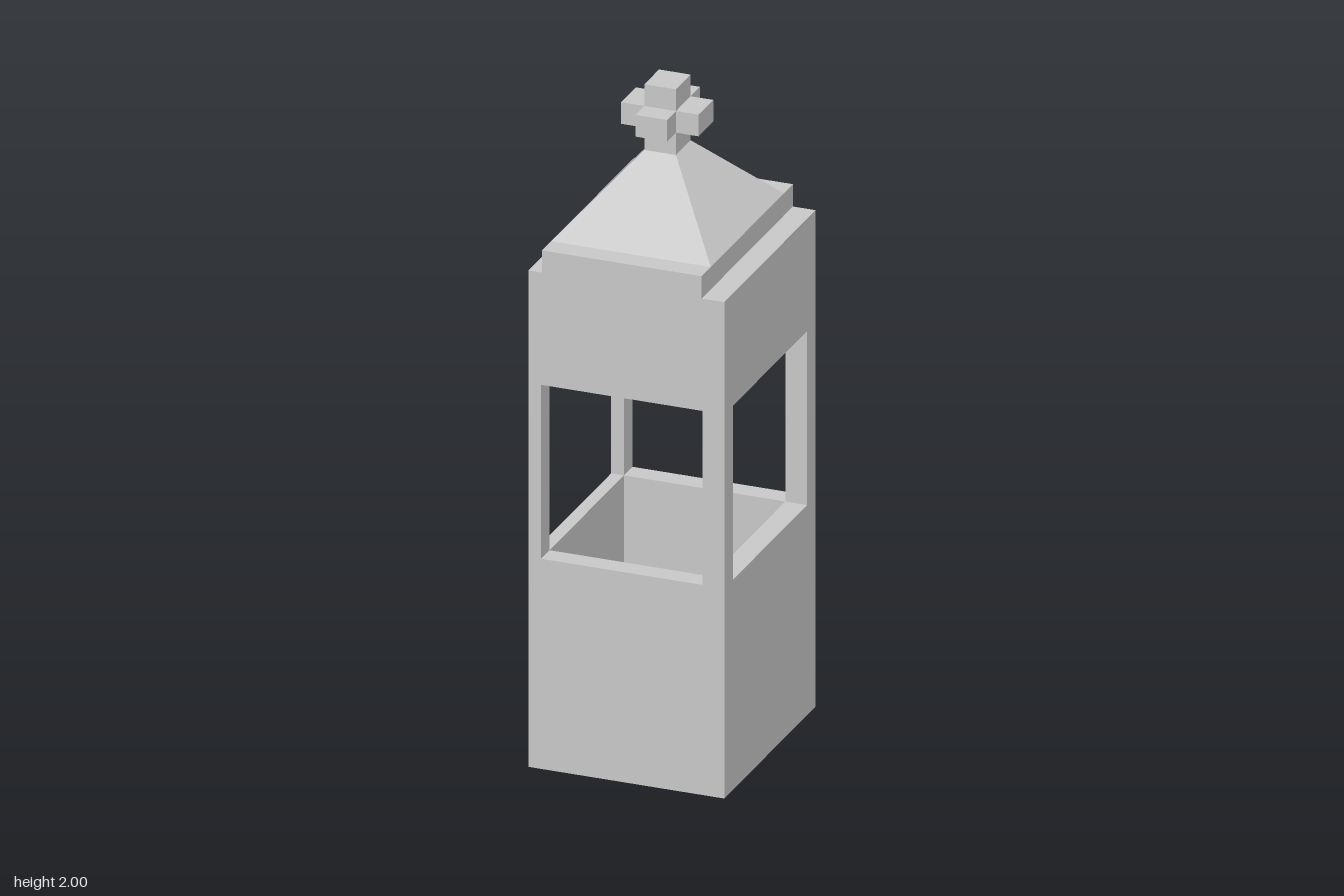
import * as THREE from 'three';

const material = new THREE.MeshStandardMaterial({ color: 0xcccccc, flatShading: true });

// Outer footprint and inner cavity, as x and z limits
const OUT = { x0: -0.295, x1: 0.293, z: 0.342 };
const CAV = { x0: -0.257, x1: 0.228, z: 0.278 };
const CAP = { x0: -0.254, x1: 0.225 };
const NECK = { x0: -0.062, x1: 0.033, z: 0.055 };

function add(group, name, geometry) {
  const mesh = new THREE.Mesh(geometry, material);
  mesh.name = name;
  group.add(mesh);
  return mesh;
}

// Box given by its limits on each axis
function block(group, name, x0, x1, y0, y1, z0, z1) {
  const mesh = add(group, name, new THREE.BoxGeometry(x1 - x0, y1 - y0, z1 - z0));
  mesh.position.set((x0 + x1) / 2, (y0 + y1) / 2, (z0 + z1) / 2);
}

function rectangle(Type, { x0, x1, z }) {
  return new Type([[x0, -z], [x1, -z], [x1, z], [x0, z]].map(p => new THREE.Vector2(...p)));
}

// Hollow rectangular band of wall between two heights
function wallBand(group, name, y0, y1) {
  const shape = rectangle(THREE.Shape, OUT);
  shape.holes.push(rectangle(THREE.Path, CAV));
  const geometry = new THREE.ExtrudeGeometry(shape, { depth: y1 - y0, bevelEnabled: false });
  geometry.rotateX(-Math.PI / 2).translate(0, y0, 0);
  add(group, name, geometry);
}

// Box whose top vertices are moved in to form a truncated pyramid
function pyramidRoof(group) {
  const geometry = new THREE.BoxGeometry(1, 1, 1);
  const p = geometry.attributes.position;
  for (let i = 0; i < p.count; i++) {
    const top = p.getY(i) > 0;
    const { x0, x1, z } = top ? NECK : { ...CAP, z: 0.274 };
    p.setXYZ(i, p.getX(i) > 0 ? x1 : x0, top ? 1.8 : 1.58, Math.sign(p.getZ(i)) * z);
  }
  geometry.computeVertexNormals();
  add(group, 'pyramidRoof', geometry);
}

export function createModel() {
  const model = new THREE.Group();
  model.name = 'lanternTower';

  // Walls below and above the window openings
  wallBand(model, 'lowerWalls', 0, 0.64);
  wallBand(model, 'upperWalls', 1.17, 1.512);

  // Corner posts between the windows
  for (const [x0, x1] of [[OUT.x0, CAV.x0], [CAV.x1, OUT.x1]])
    for (const [z0, z1] of [[-OUT.z, -CAV.z], [CAV.z, OUT.z]])
      block(model, 'cornerPost', x0, x1, 0.64, 1.17, z0, z1);

  // Stepped cap and roof; the cap closes the cavity
  block(model, 'roofCap', CAV.x0 + 0.003, CAP.x1, 1.512, 1.58, -OUT.z, OUT.z);
  block(model, 'ceiling', CAV.x0, CAV.x1, 1.5, 1.512, -CAV.z, CAV.z);
  pyramidRoof(model);

  // Finial: post with four arms
  const finial = new THREE.Group();
  finial.name = 'finial';
  block(finial, 'finialPost', NECK.x0, NECK.x1, 1.8, 2, -NECK.z, NECK.z);
  block(finial, 'leftArm', NECK.x1, 0.101, 1.868, 1.934, -NECK.z, NECK.z);
  block(finial, 'rightArm', -0.132, NECK.x0, 1.868, 1.934, -NECK.z, NECK.z);
  block(finial, 'frontArm', NECK.x0, NECK.x1, 1.868, 1.934, NECK.z, 0.122);
  block(finial, 'backArm', NECK.x0, NECK.x1, 1.868, 1.934, -0.125, -NECK.z);
  model.add(finial);

  return model;
}
